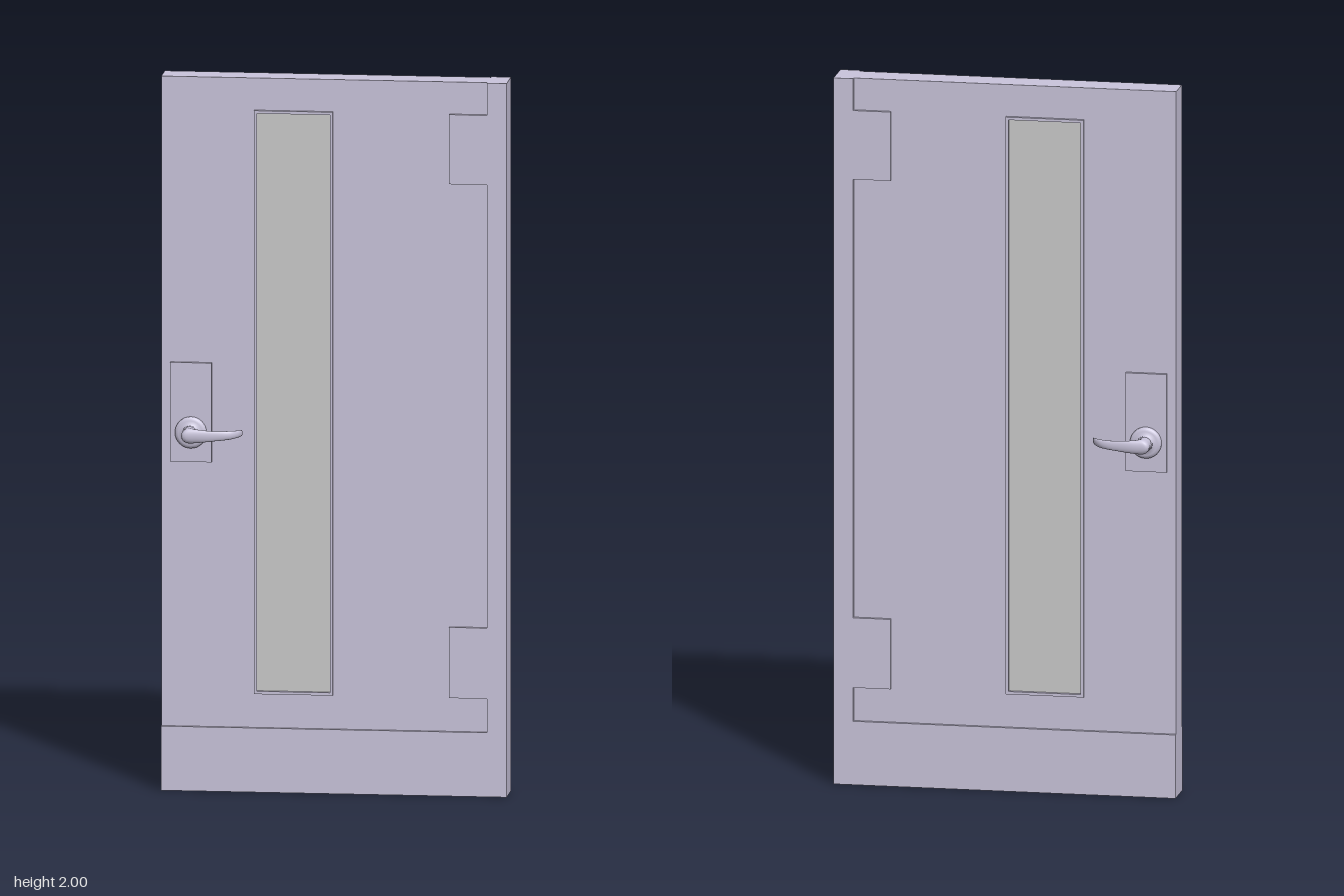
import * as THREE from 'three';

const PAINT = new THREE.MeshStandardMaterial({ color: 0xcac5dc });
const GLASS = new THREE.MeshStandardMaterial({ color: 0xcccccc });
const OUTER = 0.0525; // half thickness of the raised parts
const CORE = 0.0425; // half thickness of the main panel
const HANDLE_X = -0.397, HANDLE_Y = 1.005;

function part(name, geometry, material = PAINT) {
  const mesh = new THREE.Mesh(geometry, material);
  mesh.name = name;
  return mesh;
}

// Box given by its edges in x and y, centred on z = 0
function slab(name, x0, x1, y0, y1, half, material) {
  const g = new THREE.BoxGeometry(x1 - x0, y1 - y0, half * 2);
  g.translate((x0 + x1) / 2, (y0 + y1) / 2, 0);
  return part(name, g, material);
}

function rect(Type, x0, x1, y0, y1) {
  return new Type([[x0, y0], [x1, y0], [x1, y1], [x0, y1]].map(p => new THREE.Vector2(...p)));
}

function extrude(shape, half) {
  const g = new THREE.ExtrudeGeometry(shape, { depth: half * 2, bevelEnabled: false });
  return g.translate(0, 0, -half);
}

// Lever: elliptical rings spanning from an inner to an outer edge in the xz plane
function leverGeometry() {
  // inner x, inner z, outer x, outer z, half height, centre y
  const rows = [
    [-0.378, 0.060, -0.417, 0.060, 0.020, 0],
    [-0.378, 0.086, -0.416, 0.090, 0.020, 0],
    [-0.373, 0.098, -0.415, 0.119, 0.021, 0],
    [-0.362, 0.105, -0.388, 0.122, 0.019, 0],
    [-0.322, 0.109, -0.330, 0.119, 0.014, 0.001],
    [-0.287, 0.100, -0.281, 0.110, 0.012, 0.003],
    [-0.267, 0.086, -0.260, 0.091, 0.010, 0.004],
    [-0.254, 0.069, -0.252, 0.070, 0.008, 0.004],
  ];
  const curves = [0, 1].map(k => new THREE.CatmullRomCurve3(
    rows.map(r => new THREE.Vector3(r[k * 2], HANDLE_Y + r[5], r[k * 2 + 1]))));
  const STEPS = 28, SIDES = 20, pos = [], index = [];
  for (let i = 0; i <= STEPS; i++) {
    const t = i / STEPS, f = t * (rows.length - 1);
    const k = Math.min(Math.floor(f), rows.length - 2);
    const height = THREE.MathUtils.lerp(rows[k][4], rows[k + 1][4], f - k);
    const a = curves[0].getPoint(t), b = curves[1].getPoint(t);
    for (let j = 0; j < SIDES; j++) {
      const ang = (j / SIDES) * Math.PI * 2;
      const p = a.clone().lerp(b, 0.5 - 0.5 * Math.cos(ang));
      pos.push(p.x, p.y + height * Math.sin(ang), p.z);
      if (i < STEPS) {
        const u = i * SIDES + j, v = i * SIDES + (j + 1) % SIDES;
        index.push(u, v, u + SIDES, v, v + SIDES, u + SIDES);
      }
    }
  }
  // close the tip
  const last = STEPS * SIDES;
  for (let j = 1; j < SIDES - 1; j++) index.push(last, last + j, last + j + 1);
  const g = new THREE.BufferGeometry();
  g.setAttribute('position', new THREE.Float32BufferAttribute(pos, 3));
  g.setIndex(index);
  g.computeVertexNormals();
  return g;
}

function createHandle() {
  const handle = new THREE.Group();
  // Turned rose and collar behind the lever
  const profile = [[0.044, 0.05], [0.044, 0.058], [0.041, 0.063], [0.034, 0.066], [0.022, 0.067],
    [0.022, 0.073], [0.019, 0.075], [0, 0.075]].map(p => new THREE.Vector2(...p));
  const rose = new THREE.LatheGeometry(profile, 32);
  rose.rotateX(Math.PI / 2).translate(HANDLE_X, HANDLE_Y, 0);
  handle.add(part('handleRose', rose));
  const lever = part('lever', leverGeometry());
  lever.material = PAINT.clone();
  lever.material.side = THREE.DoubleSide;
  handle.add(lever);
  return handle;
}

export function createModel() {
  const door = new THREE.Group();
  door.name = 'door';
  door.position.z = -0.002;

  // Main panel with the window opening
  const panel = rect(THREE.Shape, -0.48, 0.425, 0.18, 2);
  panel.holes.push(rect(THREE.Path, -0.216, -0.009, 0.281, 1.904));
  door.add(part('panel', extrude(panel, CORE)));

  // Raised kick strip, hinge edge and two hinge tabs in one outline
  const trim = new THREE.Shape([
    [-0.48, 0], [0.48, 0], [0.48, 2], [0.425, 2],
    [0.425, 1.91], [0.32, 1.91], [0.32, 1.715], [0.425, 1.715],
    [0.425, 0.473], [0.32, 0.473], [0.32, 0.275], [0.425, 0.275],
    [0.425, 0.18], [-0.48, 0.18],
  ].map(p => new THREE.Vector2(...p)));
  door.add(part('raisedTrim', extrude(trim, OUTER)));

  // Window frame and pane
  const frame = rect(THREE.Shape, -0.222, -0.003, 0.275, 1.91);
  frame.holes.push(rect(THREE.Path, -0.214, -0.011, 0.283, 1.902));
  door.add(part('windowFrame', extrude(frame, OUTER)));
  door.add(slab('windowPane', -0.215, -0.01, 0.282, 1.903, 0.042, GLASS));

  // Lock plate, showing on both faces
  door.add(slab('lockPlate', -0.455, -0.34, 0.922, 1.2, OUTER));

  // Lever handles on both faces
  const front = createHandle();
  front.name = 'frontHandle';
  const back = createHandle();
  back.name = 'backHandle';
  back.scale.z = -1;
  door.add(front, back);

  const model = new THREE.Group();
  model.add(door);
  return model;
}
